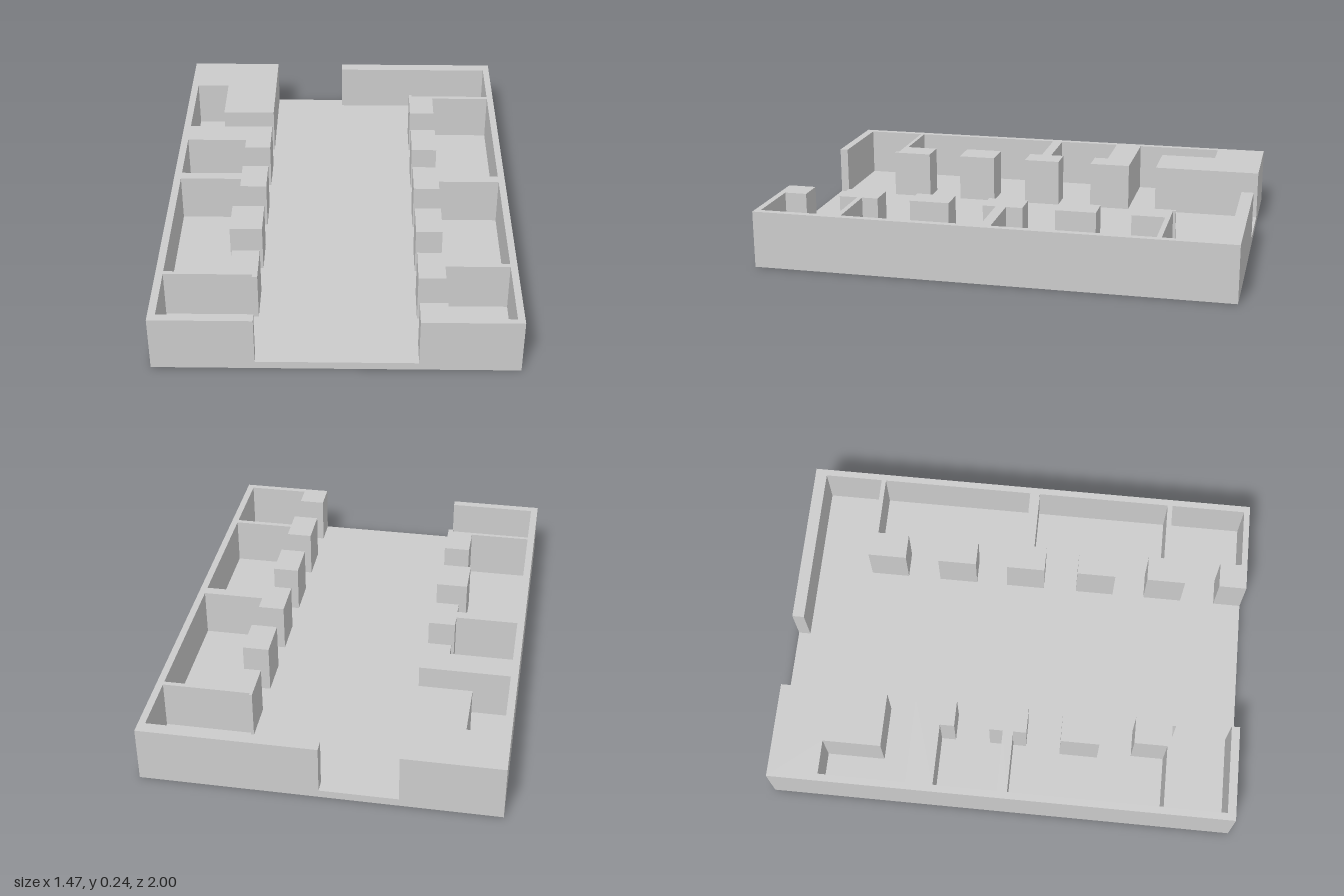
import * as THREE from 'three';

const HALF_W = 0.733, HALF_D = 1, FLOOR = 0.033, TOP = 0.241;

export function createModel() {
  const group = new THREE.Group();
  const material = new THREE.MeshStandardMaterial({ color: 0xcccccc, flatShading: true });

  // Raise a plan outline of [x, z] corners from height y0 to y1
  function raise(name, plan, y0, y1) {
    const shape = new THREE.Shape(plan.map(([x, z]) => new THREE.Vector2(x, -z)));
    const geometry = new THREE.ExtrudeGeometry(shape, { depth: y1 - y0, bevelEnabled: false });
    geometry.rotateX(-Math.PI / 2);
    const mesh = new THREE.Mesh(geometry, material);
    mesh.name = name;
    mesh.position.y = y0;
    group.add(mesh);
  }
  const rect = (x0, x1, z0, z1) => [[x0, z0], [x1, z0], [x1, z1], [x0, z1]];

  // Floor slab
  raise('floor', rect(-HALF_W, HALF_W, -HALF_D, HALF_D), 0, FLOOR);

  // Walls on the -x side: solid back corner, rooms and attached pillars
  raise('rightWalls', [
    [-HALF_W, -HALF_D], [-0.32, -HALF_D],
    [-0.32, -0.533], [-0.555, -0.533], [-0.555, -0.783], [-0.702, -0.783],
    [-0.702, -0.408], [-0.32, -0.408], [-0.32, -0.228], [-0.435, -0.228], [-0.435, -0.29], [-0.702, -0.29],
    [-0.702, -0.017], [-0.435, -0.017], [-0.435, -0.076], [-0.32, -0.076], [-0.32, 0.085], [-0.435, 0.085],
    [-0.435, 0.028], [-0.702, 0.028],
    [-0.702, 0.693], [-0.435, 0.693], [-0.435, 0.551], [-0.32, 0.551], [-0.32, 0.725], [-0.342, 0.725],
    [-0.342, 0.71], [-0.702, 0.71],
    [-0.702, 0.964], [-0.32, 0.964], [-0.32, HALF_D], [-HALF_W, HALF_D],
  ], FLOOR, TOP);

  // Walls on the +x side
  raise('leftWalls', [
    [HALF_W, -HALF_D], [0, -HALF_D], [0, -0.948], [0.704, -0.948],
    [0.704, -0.693], [0.34, -0.693], [0.34, -0.704], [0.328, -0.704], [0.328, -0.534], [0.44, -0.534],
    [0.44, -0.673], [0.704, -0.673],
    [0.704, -0.006], [0.44, -0.006], [0.44, -0.076], [0.328, -0.076], [0.328, 0.094], [0.44, 0.094],
    [0.44, 0.038], [0.704, 0.038],
    [0.704, 0.625], [0.44, 0.625], [0.44, 0.556], [0.328, 0.556], [0.328, 0.726], [0.44, 0.726],
    [0.44, 0.647], [0.704, 0.647],
    [0.704, 0.974], [0.44, 0.974], [0.44, 0.879], [0.328, 0.879], [0.328, HALF_D], [HALF_W, HALF_D],
  ], FLOOR, TOP);

  // Free-standing pillars
  raise('rightPillar', rect(-0.457, -0.32, 0.235, 0.402), FLOOR, TOP);
  raise('leftBackPillar', rect(0.328, 0.44, -0.387, -0.216), FLOOR, TOP);
  raise('leftFrontPillar', rect(0.328, 0.44, 0.243, 0.413), FLOOR, TOP);

  return group;
}
